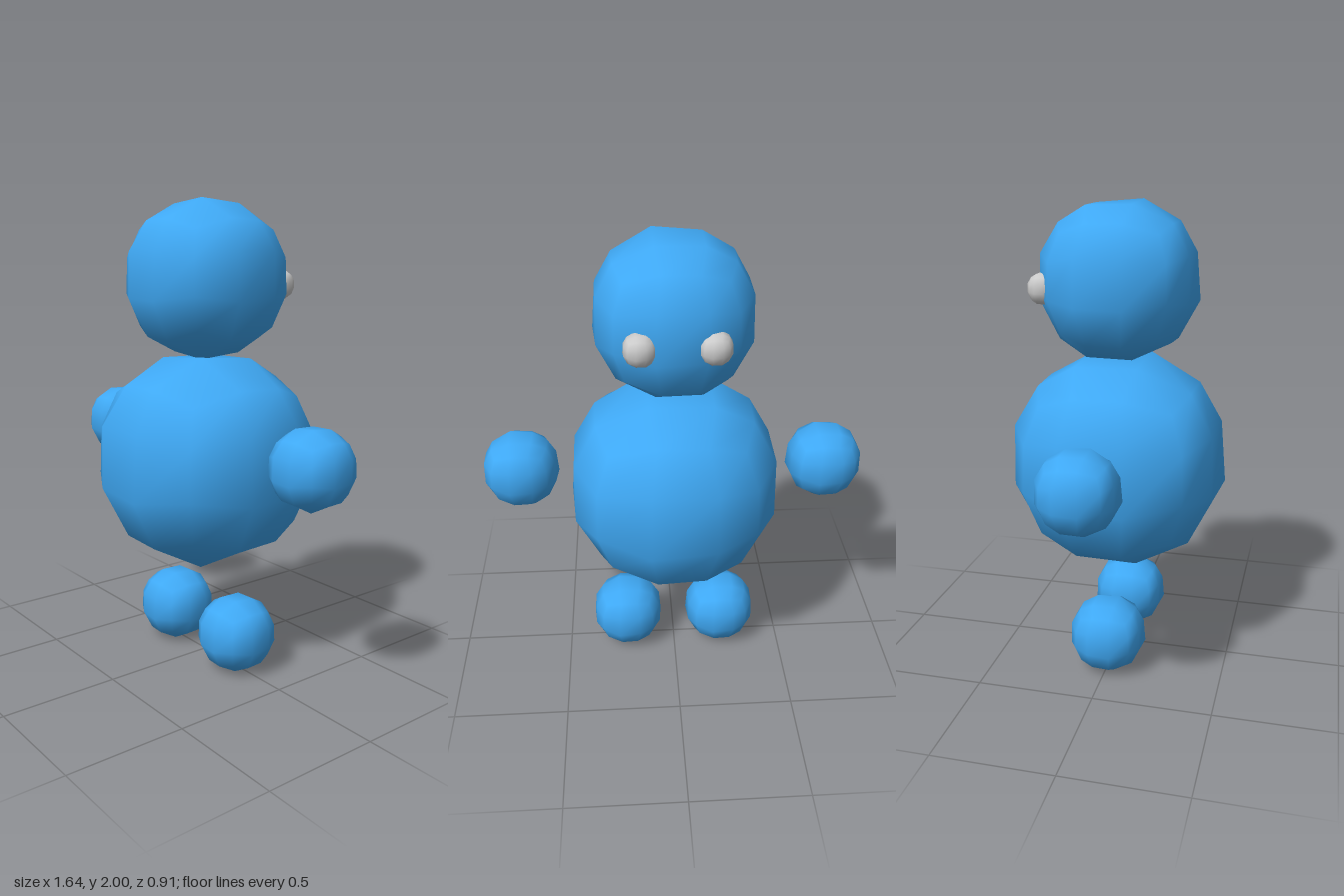
import * as THREE from 'three';
import { mergeVertices } from 'three/addons/utils/BufferGeometryUtils.js';

// Low-poly ball of radius 1: a 3x3x3 box with uneven grid lines, pushed out to a sphere
function ballGeometry() {
  const box = new THREE.BoxGeometry(2, 2, 2, 3, 3, 3);
  box.deleteAttribute('normal');
  box.deleteAttribute('uv');
  const geo = mergeVertices(box, 1e-3);
  const pos = geo.attributes.position;
  const line = (c) => (Math.abs(c) > 0.9 ? Math.sign(c) : c > 0 ? 0.252 : -0.375);
  const v = new THREE.Vector3();
  for (let i = 0; i < pos.count; i++) {
    v.fromBufferAttribute(pos, i);
    v.set(line(v.x), -line(-v.y), line(v.z));
    // Inner face points on mixed grid lines sit slightly lower
    const inner = [v.x, -v.y, v.z].filter((c) => Math.abs(c) < 0.9);
    const mixed = inner.length === 2 && inner[0] !== inner[1];
    v.setLength(mixed ? 0.982 : 1);
    pos.setXYZ(i, v.x, v.y, v.z);
  }
  geo.computeVertexNormals();
  return geo;
}

export function createModel() {
  const model = new THREE.Group();
  model.name = 'ballFigure';
  const blue = new THREE.MeshStandardMaterial({ color: 0x3fa9f5 });
  const grey = new THREE.MeshStandardMaterial({ color: 0xcccccc });
  const ball = ballGeometry();

  const add = (name, radius, x, y, z, material = blue) => {
    const mesh = new THREE.Mesh(ball, material);
    mesh.name = name;
    mesh.scale.setScalar(radius);
    mesh.position.set(x, y, z);
    model.add(mesh);
  };

  // Body and head
  add('body', 0.481, 0, 0.907, 0);
  add('head', 0.347, 0, 1.675, 0);

  // Paired hands, feet and eyes
  for (const [side, s] of [['left', 1], ['right', -1]]) {
    add(side + 'Hand', 0.169, s * 0.661, 0.979, 0);
    add(side + 'Foot', 0.169, s * 0.22, 0.162, 0);
    add(side + 'Eye', 0.069, s * 0.142, 1.65, -0.285, grey);
  }
  return model;
}
